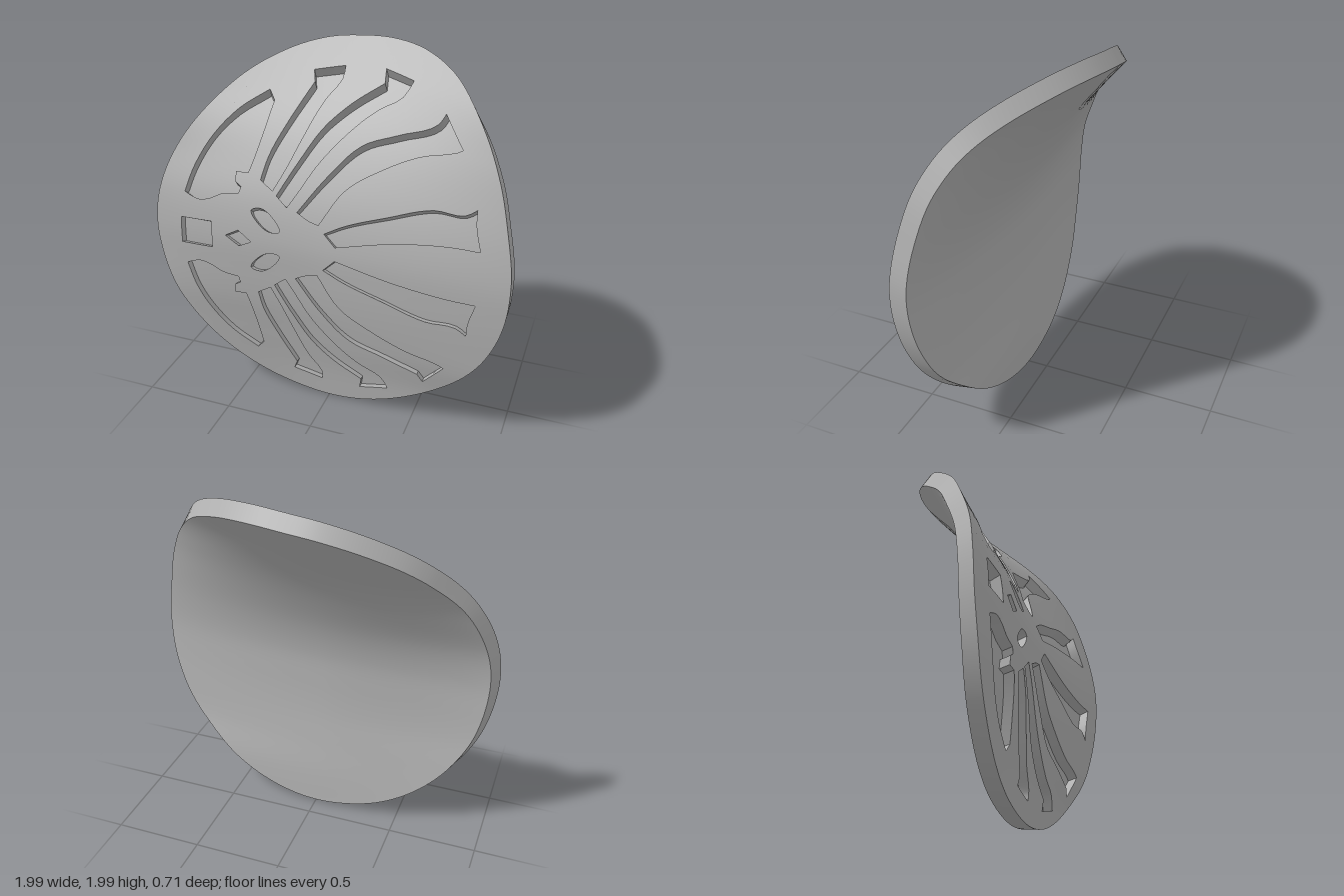
import * as THREE from 'three';
import { toCreasedNormals } from 'three/addons/utils/BufferGeometryUtils.js';

// Saddle-shaped front surface: centre profile, side tilt and side curl, sampled every 0.2 in y
const PROFILE = [0.2, 0.22, 0.25, 0.275, 0.285, 0.28, 0.235, 0.148, 0.03, -0.125, -0.3];
const TILT = [0.03, 0.03, 0.045, 0.045, 0.05, 0.055, 0.063, 0.085, 0.108, 0.145, 0.155];
const CURL = [0.015, 0.015, 0.02, 0.02, 0.025, 0.035, 0.06, 0.1, 0.165, 0.23, 0.26];
const THICK = 0.09;

function sample(table, y) {
  const t = THREE.MathUtils.clamp(y, 0, 2) * 5;
  const i = Math.min(Math.floor(t), 9), u = t - i;
  const p1 = table[i], p2 = table[i + 1];
  const p0 = i > 0 ? table[i - 1] : 2 * p1 - p2;
  const p3 = i < 9 ? table[i + 2] : 2 * p2 - p1;
  const m1 = (p2 - p0) / 2, m2 = (p3 - p1) / 2, d = p1 - p2;
  return p1 + u * (m1 + u * (-3 * d - 2 * m1 - m2 + u * (2 * d + m1 + m2)));
}
// Gentle swelling of the right cheek
function swell(x, y) {
  const u = Math.max(0, -x);
  return 0.15 * u * u * (1 - u) * Math.max(0, 1 - ((y - 0.85) / 0.85) ** 2);
}
const height = (x, y) => sample(PROFILE, y) + sample(TILT, y) * x + sample(CURL, y) * x * x + swell(x, y);

function normalAt(x, y) {
  const e = 0.01;
  const y0 = Math.max(0, y - e), y1 = Math.min(2, y + e);
  return new THREE.Vector3(
    -(height(x + e, y) - height(x - e, y)) / (2 * e),
    -(height(x, y1) - height(x, y0)) / (y1 - y0), 1).normalize();
}

// The three layers of the shell
const front = (p) => new THREE.Vector3(p.x, p.y, height(p.x, p.y));
const floor = (p) => front(p).addScaledVector(normalAt(p.x, p.y), -0.05).add(new THREE.Vector3(-0.008, -0.022, 0));
const back = (p) => {
  // Slide inwards along the shell so the rim is not flared
  const x = p.x + THICK * normalAt(p.x, p.y).x + 0.04 * Math.max(0, -p.x) ** 3;
  const y = p.y - 0.02 * Math.max(0, p.y - 1) ** 3;
  const v = new THREE.Vector3(x, y, height(x, y)).addScaledVector(normalAt(x, y), -THICK);
  v.y = Math.max(v.y, 0);
  return v;
};

// Closed loop with short edges, curved through gentle corners, wound as asked
function makeLoop(points, ccw) {
  const at = (i) => points[(i + points.length) % points.length];
  const tangent = (i, chord) => {
    const before = at(i).clone().sub(at(i - 1)).normalize();
    const after = at(i + 1).clone().sub(at(i)).normalize();
    if (before.dot(after) < 0.8) return chord;
    return before.add(after).setLength(chord.length());
  };
  const loop = [];
  points.forEach((p, i) => {
    const q = at(i + 1), chord = q.clone().sub(p);
    const a = tangent(i, chord).clone(), b = tangent(i + 1, chord).clone();
    const n = Math.max(1, Math.ceil(chord.length() / 0.045));
    for (let k = 0; k < n; k++) {
      const t = k / n, s = 1 - t;
      loop.push(p.clone().addScaledVector(chord, t * t * (3 - 2 * t))
        .addScaledVector(a, t * s * s).addScaledVector(b, -t * t * s));
    }
  });
  if ((THREE.ShapeUtils.area(loop) > 0) !== ccw) loop.reverse();
  return loop;
}

// Triangulate a flat region, refine it, then lift it onto a layer
function sheet(contour, holes, layer, flip) {
  const pts = [contour, ...holes].flat();
  const cross = ([a, b, c]) => (pts[b].x - pts[a].x) * (pts[c].y - pts[a].y) - (pts[b].y - pts[a].y) * (pts[c].x - pts[a].x);
  let tris = THREE.ShapeUtils.triangulateShape(contour, holes)
    .map((t) => (cross(t) < 0 ? [t[0], t[2], t[1]] : t));
  for (let pass = 0; pass < 6; pass++) {
    const mids = new Map(), next = [];
    const mid = (a, b) => {
      if (pts[a].distanceTo(pts[b]) < 0.075) return -1;
      const key = a < b ? a + '_' + b : b + '_' + a;
      if (!mids.has(key)) mids.set(key, pts.push(pts[a].clone().lerp(pts[b], 0.5)) - 1);
      return mids.get(key);
    };
    for (const [a, b, c] of tris) {
      // Walk round the triangle with its midpoints, then cut off split corners
      const m = [mid(a, b), mid(b, c), mid(c, a)], v = [a, b, c];
      const count = m.filter((k) => k >= 0).length;
      if (count === 0) next.push(v);
      else if (count === 3) next.push([a, m[0], m[2]], [m[0], b, m[1]], [m[2], m[1], c], m);
      else {
        const s = count === 1 ? m.findIndex((k) => k >= 0) : (m.findIndex((k) => k < 0) + 1) % 3;
        const A = v[s], B = v[(s + 1) % 3], C = v[(s + 2) % 3], M = m[s], N = m[(s + 1) % 3];
        if (count === 1) next.push([A, M, C], [M, B, C]);
        else next.push([M, B, N], [A, M, N], [A, N, C]);
      }
    }
    tris = next;
  }
  const pos = [], nor = [];
  for (const p of pts) {
    pos.push(...layer(p).toArray());
    nor.push(...normalAt(p.x, p.y).multiplyScalar(flip ? -1 : 1).toArray());
  }
  const geo = new THREE.BufferGeometry();
  geo.setAttribute('position', new THREE.Float32BufferAttribute(pos, 3));
  geo.setAttribute('normal', new THREE.Float32BufferAttribute(nor, 3));
  geo.setIndex(tris.flatMap(([a, b, c]) => (flip ? [a, c, b] : [a, b, c])));
  return geo;
}

// Band of quads joining a loop on two layers
function wall(loop, upper, lower) {
  const pos = [];
  loop.forEach((p, i) => {
    const q = loop[(i + 1) % loop.length];
    const a = lower(p), b = lower(q), c = upper(q), d = upper(p);
    for (const v of [a, b, c, a, c, d]) pos.push(v.x, v.y, v.z);
  });
  const geo = new THREE.BufferGeometry();
  geo.setAttribute('position', new THREE.Float32BufferAttribute(pos, 3));
  return toCreasedNormals(geo, 0.6);
}

const toPoints = (list) => list.map(([x, y]) => new THREE.Vector2(x, y));
function spline(list, n) {
  const curve = new THREE.CatmullRomCurve3(list.map(([x, y]) => new THREE.Vector3(x, y, 0)), true);
  return curve.getSpacedPoints(n).slice(0, n).map((p) => new THREE.Vector2(p.x, p.y));
}
// Mirror an upper cutout to the lower half
const mirror = (points) => points.map((p) =>
  new THREE.Vector2(p.x, 1.975 + (p.x > 0 ? 0.1 : 0.01) * p.x - p.y));

const OUTLINE = [[-0.995, 1], [-0.97, 1.2], [-0.9, 1.4], [-0.77, 1.6], [-0.59, 1.78], [-0.38, 1.9], [-0.18, 1.965],
  [0, 1.99], [0.2, 2], [0.4, 1.975], [0.6, 1.89], [0.77, 1.72], [0.88, 1.52], [0.95, 1.28], [0.985, 1.1],
  [0.99, 0.97], [0.98, 0.84], [0.945, 0.69], [0.87, 0.52], [0.75, 0.36], [0.58, 0.21], [0.38, 0.095], [0.19, 0.03],
  [0, 0.008], [-0.2, 0.03], [-0.4, 0.09], [-0.6, 0.205], [-0.77, 0.365], [-0.9, 0.56], [-0.97, 0.77]];

// Crescent beside the head
const CRESCENT = [[-0.43, 1.715], [-0.39, 1.67], [-0.41, 1.54], [-0.44, 1.4], [-0.46, 1.33], [-0.53, 1.33],
  [-0.525, 1.28], [-0.49, 1.26], [-0.5, 1.225], [-0.6, 1.21], [-0.66, 1.18], [-0.735, 1.165], [-0.815, 1.195],
  [-0.77, 1.34], [-0.69, 1.49], [-0.575, 1.62]];
// Fanned slots, from the head round to the right
const SLOTS = [
  [[-0.21, 1.82], [-0.04, 1.855], [-0.04, 1.8], [-0.11, 1.7], [-0.2, 1.5], [-0.25, 1.38], [-0.31, 1.26],
    [-0.385, 1.305], [-0.36, 1.42], [-0.28, 1.6], [-0.19, 1.77]],
  [[0.19, 1.87], [0.355, 1.845], [0.315, 1.77], [0.2, 1.7], [0.09, 1.61], [-0.07, 1.43], [-0.175, 1.26],
    [-0.22, 1.19], [-0.285, 1.24], [-0.185, 1.42], [-0.085, 1.58], [0.04, 1.7], [0.2, 1.81]],
  [[0.56, 1.745], [0.675, 1.615], [0.65, 1.6], [0.46, 1.54], [0.28, 1.45], [0.09, 1.32], [-0.035, 1.13],
    [-0.085, 1.14], [-0.16, 1.175], [-0.015, 1.37], [0.14, 1.53], [0.33, 1.61], [0.53, 1.695]],
  [[0, 1.09], [0.11, 1.15], [0.33, 1.235], [0.57, 1.32], [0.73, 1.33], [0.787, 1.37], [0.79, 1.3], [0.825, 1.175],
    [0.675, 1.165], [0.38, 1.115], [0.065, 1.03]],
];
const EYE = [[-0.42, 1.15], [-0.36, 1.165], [-0.28, 1.11], [-0.25, 1.055], [-0.32, 1.05], [-0.39, 1.1]];
const DIAMOND = [[-0.565, 0.99], [-0.49, 1.03], [-0.415, 0.975], [-0.485, 0.94]];
const SQUARE = [[-0.835, 1.05], [-0.65, 1.055], [-0.645, 0.905], [-0.835, 0.9]];

export function createModel() {
  const group = new THREE.Group();
  const grey = new THREE.MeshStandardMaterial({ color: 0xb2b2b2 });
  grey.name = 'grey';
  const add = (geo, name) => {
    const mesh = new THREE.Mesh(geo, grey);
    mesh.name = name;
    group.add(mesh);
  };

  const outline = makeLoop(spline(OUTLINE, 160), true);
  const cutouts = [];
  const addPair = (points, name) => {
    cutouts.push({ name: name + 'Upper', points }, { name: name + 'Lower', points: mirror(points) });
  };
  addPair(toPoints(CRESCENT), 'crescent');
  SLOTS.forEach((slot, i) => addPair(toPoints(slot), 'slot' + (i + 1)));
  addPair(spline(EYE, 24), 'eye');
  cutouts.push({ name: 'diamond', points: toPoints(DIAMOND) }, { name: 'square', points: toPoints(SQUARE) });

  const holes = cutouts.map((c) => makeLoop(c.points, false));
  add(sheet(outline, holes, front, false), 'frontFace');
  add(sheet(outline, [], back, true), 'backFace');
  add(wall(outline, front, back), 'rim');

  // Recess walls and floors
  cutouts.forEach(({ name }, i) => {
    add(wall(holes[i], front, floor), name + 'Wall');
    add(sheet(holes[i].slice().reverse(), [], floor, false), name + 'Floor');
  });
  return group;
}
